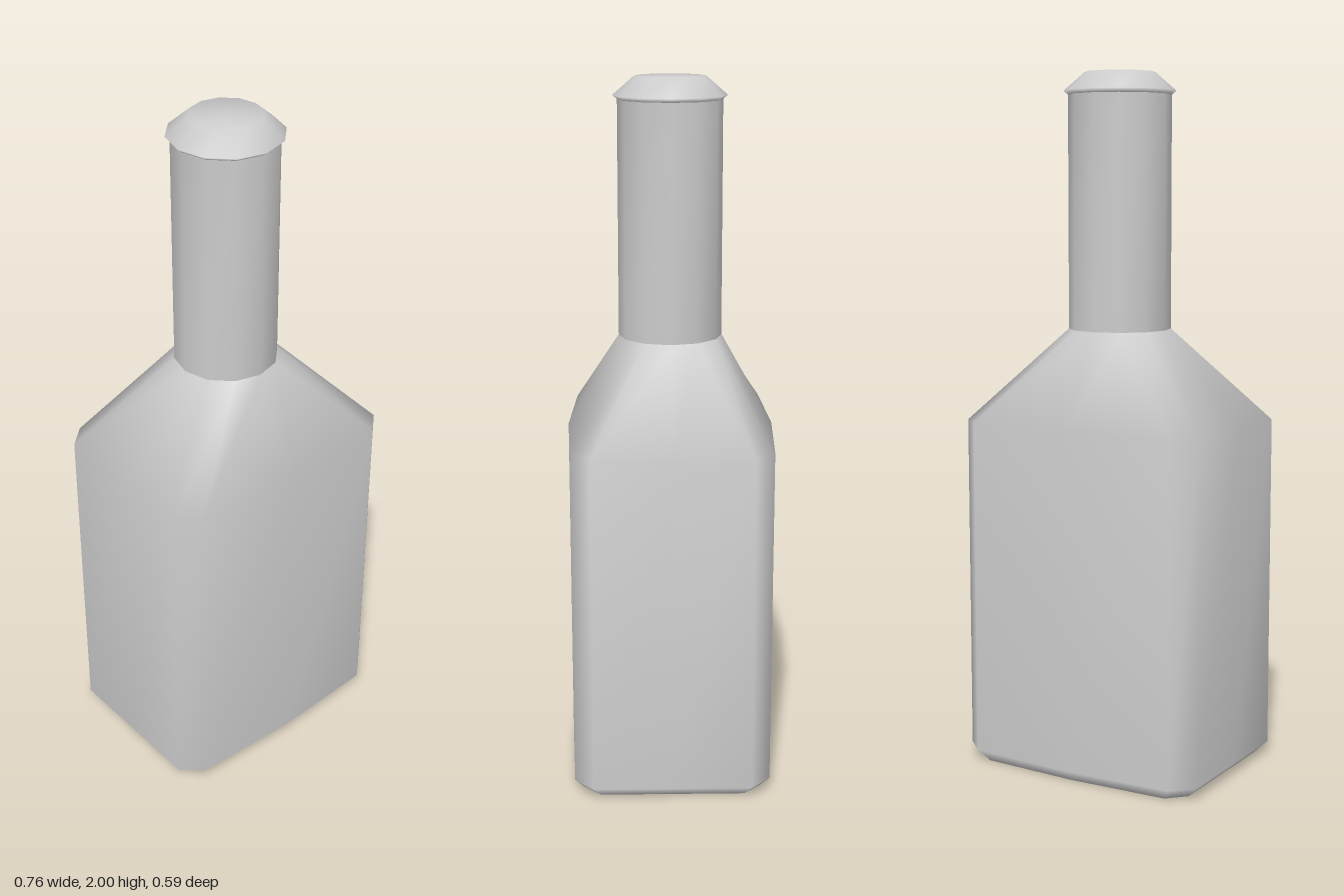
import * as THREE from 'three';

const SIDES = 12;

// Mirrors one quarter outline (4 points from +x to +z) into a full 12-point ring.
function ringFromQuarter(q) {
  const flipX = ([x, z]) => [-x, z], flipZ = ([x, z]) => [x, -z];
  return [
    ...q,
    ...[q[2], q[1], q[0]].map(flipX),
    ...[q[1], q[2], q[3]].map(([x, z]) => [-x, -z]),
    ...[q[2], q[1]].map(flipZ),
  ];
}

function circle(r) {
  return Array.from({ length: SIDES }, (_, i) => {
    const a = (i / SIDES) * Math.PI * 2;
    return [r * Math.cos(a), r * Math.sin(a)];
  });
}

// Smooth loft through [y, ring] sections, with optional closing fans.
function loft(sections, closeBottom, closeTop) {
  const pos = [], index = [];
  for (const [y, ring] of sections) for (const [x, z] of ring) pos.push(x, y, z);
  for (let s = 0; s < sections.length - 1; s++) {
    for (let i = 0; i < SIDES; i++) {
      const a = s * SIDES + i, b = s * SIDES + (i + 1) % SIDES;
      index.push(a, a + SIDES, b, b, a + SIDES, b + SIDES);
    }
  }
  const fan = (s, up) => {
    const c = pos.length / 3;
    pos.push(0, sections[s][0], 0);
    for (let i = 0; i < SIDES; i++) {
      const a = s * SIDES + i, b = s * SIDES + (i + 1) % SIDES;
      if (up) index.push(c, b, a);
      else index.push(c, a, b);
    }
  };
  if (closeBottom) fan(0, false);
  if (closeTop) fan(sections.length - 1, true);
  const g = new THREE.BufferGeometry();
  g.setAttribute('position', new THREE.Float32BufferAttribute(pos, 3));
  g.setIndex(index);
  g.computeVertexNormals();
  return g;
}

export function createModel() {
  const group = new THREE.Group();
  group.name = 'bottle';
  const material = new THREE.MeshStandardMaterial({ color: 0xcccccc, side: THREE.DoubleSide });
  const add = (name, geometry) => {
    const mesh = new THREE.Mesh(geometry, material);
    mesh.name = name;
    group.add(mesh);
  };

  // Body: bevelled rectangular section, tapering at the shoulder to the round neck
  const base = ringFromQuarter([[0.345, 0], [0.345, 0.205], [0.295, 0.255], [0, 0.267]]);
  const wall = ringFromQuarter([[0.38, 0], [0.38, 0.225], [0.32, 0.28], [0, 0.295]]);
  add('body', loft([[0, base], [0.035, wall], [1.01, wall], [1.275, circle(0.147)]], true, false));

  // Neck: straight tube with a sharp seam at both ends
  add('neck', loft([[1.275, circle(0.147)], [1.937, circle(0.147)]], false, false));

  // Cap: slightly overhanging lip with a chamfered, softly shaded top
  add('cap', loft([[1.937, circle(0.147)], [1.948, circle(0.16)], [2, circle(0.1)]], false, true));

  return group;
}
